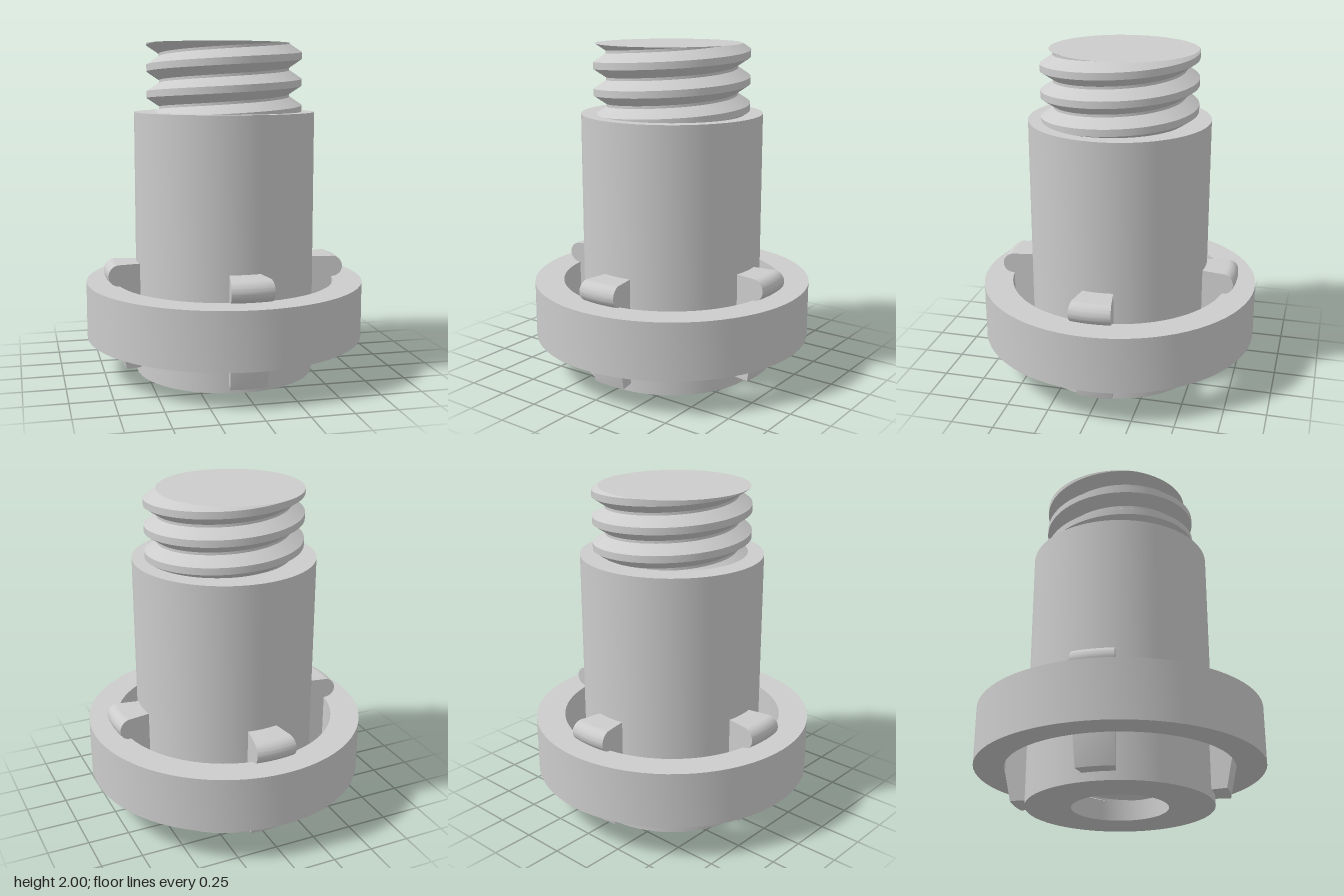
import * as THREE from 'three';
import { toCreasedNormals } from 'three/addons/utils/BufferGeometryUtils.js';

const material = new THREE.MeshStandardMaterial({ color: 0xcccccc });
const SEGMENTS = 72;
const CREASE = 0.45;

function addMesh(parent, name, geometry) {
  const mesh = new THREE.Mesh(toCreasedNormals(geometry, CREASE), material);
  mesh.name = name;
  parent.add(mesh);
  return mesh;
}

const lathe = (points) =>
  new THREE.LatheGeometry(points.map(([r, y]) => new THREE.Vector2(r, y)), SEGMENTS);

// Right-handed helical thread between y0 and y1; the ends run flat to startR and endR.
function threadGeometry({ root, crest, pitch, y0, y1, phase, startR, endR, inward }) {
  const crestHalf = pitch * 0.13, rootHalf = pitch * 0.45;
  const radiusAt = (y, centre) => {
    const d = (y - centre) / pitch;
    const distance = Math.abs(d - Math.round(d)) * pitch;
    const t = THREE.MathUtils.clamp((distance - crestHalf) / (rootHalf - crestHalf), 0, 1);
    return crest + (root - crest) * t;
  };
  const turns = Math.ceil((y1 - y0) / pitch) + 2;
  const offsets = [-rootHalf, -crestHalf, crestHalf, rootHalf];
  const positions = [], indices = [];
  let rows = 0;
  for (let i = 0; i <= SEGMENTS; i++) {
    const angle = (i / SEGMENTS) * Math.PI * 2;
    const base = phase + (pitch * i) / SEGMENTS;
    const first = base + Math.floor((y0 - base) / pitch - 1) * pitch;
    // keep the same turn count in every column so rows follow the helix
    const start = phase + Math.floor((y0 - phase) / pitch - 1) * pitch + (pitch * i) / SEGMENTS;
    const column = [[startR, y0], [radiusAt(y0, first), y0]];
    for (let k = 0; k <= turns; k++) {
      for (const o of offsets) {
        const y = THREE.MathUtils.clamp(start + k * pitch + o, y0, y1);
        column.push([radiusAt(y, base), y]);
      }
    }
    column.push([radiusAt(y1, base), y1], [endR, y1]);
    rows = column.length;
    for (const [r, y] of column) positions.push(r * Math.sin(angle), y, r * Math.cos(angle));
  }
  for (let i = 0; i < SEGMENTS; i++) {
    for (let j = 0; j < rows - 1; j++) {
      const a = i * rows + j, b = a + rows, c = b + 1, d = a + 1;
      if (inward) indices.push(a, c, b, a, d, c);
      else indices.push(a, b, c, a, c, d);
    }
  }
  const geometry = new THREE.BufferGeometry();
  geometry.setAttribute('position', new THREE.Float32BufferAttribute(positions, 3));
  geometry.setIndex(indices);
  return geometry;
}

// Snap clip: a side profile (radius, height) swept through a small arc about the axis.
function clipGeometry() {
  const halfAngle = 0.17;
  const shape = new THREE.Shape();
  shape.moveTo(0.53, 0.05);
  shape.lineTo(0.635, 0.05);
  shape.lineTo(0.672, 0.22);
  shape.lineTo(0.672, 0.563);
  shape.absarc(0.676, 0.627, 0.064, -Math.PI / 2, Math.PI / 2, false);
  shape.lineTo(0.53, 0.691);
  shape.closePath();
  const geometry = new THREE.ExtrudeGeometry(shape, {
    depth: 2 * halfAngle, steps: 8, bevelEnabled: false, curveSegments: 14,
  });
  const p = geometry.attributes.position;
  for (let i = 0; i < p.count; i++) {
    const r = p.getX(i), angle = halfAngle - p.getZ(i);
    p.setXYZ(i, r * Math.sin(angle), p.getY(i), r * Math.cos(angle));
  }
  return geometry;
}

export function createModel() {
  const model = new THREE.Group();
  model.name = 'threadedAdapter';

  // Sleeve with a plain recess at the bottom
  addMesh(model, 'body', lathe([
    [0.28, 0.12], [0.28, 0], [0.545, 0], [0.545, 1.59], [0.36, 1.59],
  ]));

  // External screw on top
  addMesh(model, 'outerThread', threadGeometry({
    root: 0.393, crest: 0.468, pitch: 0.157, y0: 1.58, y1: 2,
    phase: 1.893, startR: 0.36, endR: 0, inward: false,
  }));

  // Blind threaded bore in the underside
  addMesh(model, 'innerThread', threadGeometry({
    root: 0.285, crest: 0.235, pitch: 0.124, y0: 0.12, y1: 0.95,
    phase: 0.15, startR: 0.28, endR: 0, inward: true,
  }));

  // Loose collar held by the clips
  addMesh(model, 'collar', lathe([
    [0.672, 0.22], [0.848, 0.22], [0.848, 0.563], [0.672, 0.563], [0.672, 0.22],
  ]));

  // Four snap clips around the sleeve
  const clips = new THREE.Group();
  clips.name = 'clips';
  for (let i = 0; i < 4; i++) {
    addMesh(clips, 'clip', clipGeometry()).rotation.y = (i * Math.PI) / 2;
  }
  model.add(clips);

  return model;
}
